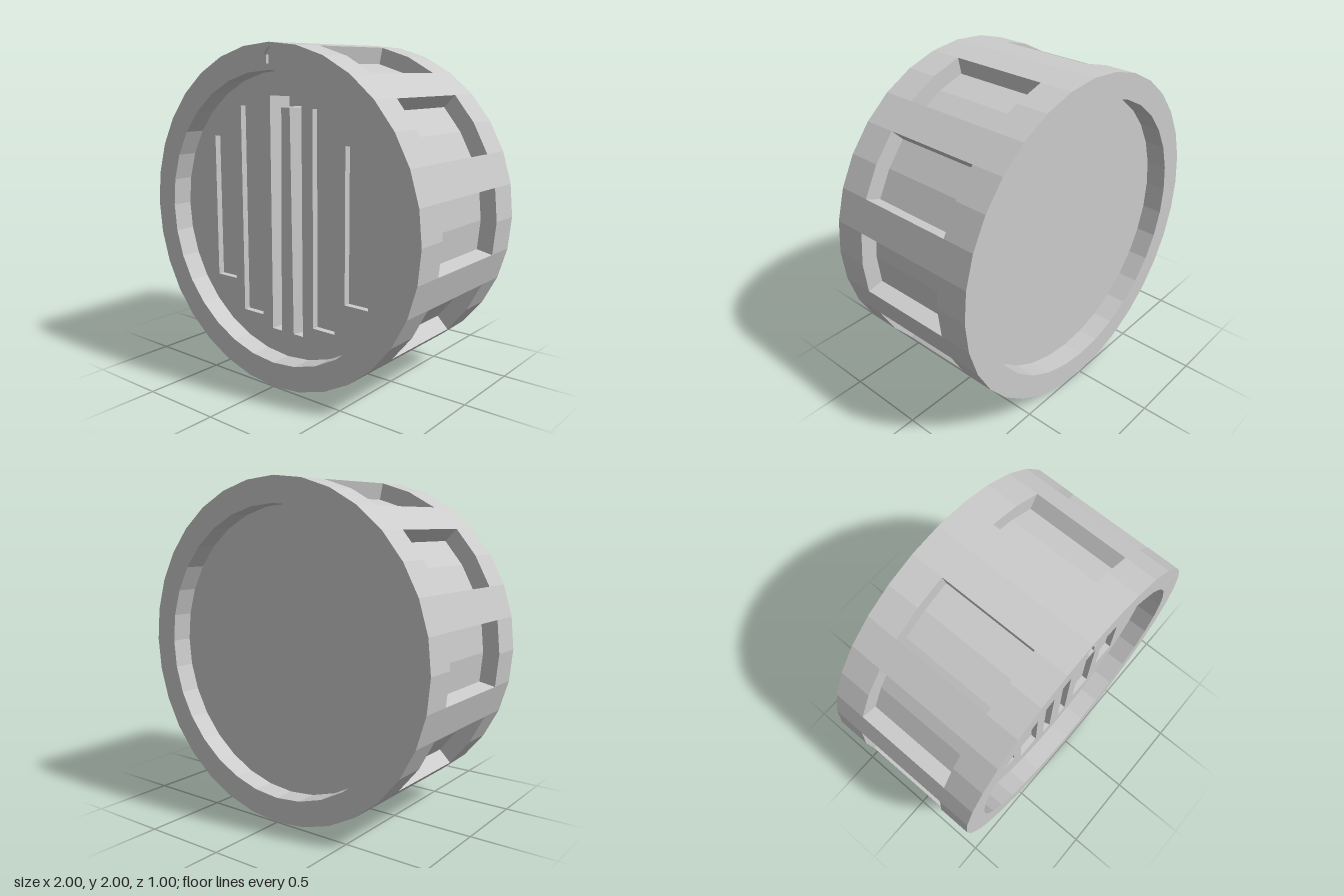
import * as THREE from 'three';
import { mergeGeometries } from 'three/addons/utils/BufferGeometryUtils.js';

const SIDES = 32;
const R = 1, POCKET_R = 0.9, RECESS_R = 0.85;
const HALF = 0.5, POCKET_Z = 0.3, RECESS_Z = 0.37, SLOT_Z = 0.33, DEEP_Z = 0.2;

const material = new THREE.MeshStandardMaterial({ color: 0xcccccc, flatShading: true });

const polar = (r, i) => {
  const a = (i / SIDES) * Math.PI * 2;
  return new THREE.Vector2(r * Math.cos(a), r * Math.sin(a));
};
const arc = (r, from, to) =>
  Array.from({ length: to - from + 1 }, (_, k) => polar(r, from + k));
const ring = (r) => arc(r, 0, SIDES - 1);
const rect = (x0, x1, y0, y1) =>
  [[x0, y0], [x1, y0], [x1, y1], [x0, y1]].map(([x, y]) => new THREE.Vector2(x, y));
const closed = (pts) => [...pts, pts[0]];
const inward = (pts) => closed(pts).reverse();

// Flat-shaded quads, corners counter-clockwise from outside
function quads(list) {
  const pos = [];
  for (const [a, b, c, d] of list) pos.push(...a, ...b, ...c, ...a, ...c, ...d);
  const g = new THREE.BufferGeometry();
  g.setAttribute('position', new THREE.Float32BufferAttribute(pos, 3));
  g.computeVertexNormals();
  return g;
}

// Wall along a path from z0 to z1, facing the right-hand side of the path
function wall(pts, z0, z1) {
  return quads(pts.slice(1).map((q, i) => {
    const p = pts[i];
    return [[p.x, p.y, z0], [q.x, q.y, z0], [q.x, q.y, z1], [p.x, p.y, z1]];
  }));
}

// Flat plate at z, facing +z, or -z when back is set
function plate(outline, z, holes = [], back = false) {
  const shape = new THREE.Shape(outline);
  holes.forEach((h) => shape.holes.push(new THREE.Path(h)));
  const g = new THREE.ShapeGeometry(shape).toNonIndexed();
  g.deleteAttribute('uv');
  if (back) g.rotateY(Math.PI);
  return g.translate(0, 0, z);
}

export function createModel() {
  const model = new THREE.Group();
  const body = new THREE.Group();
  body.position.y = 1;
  model.add(body);
  const add = (name, ...geos) => {
    const mesh = new THREE.Mesh(mergeGeometries(geos), material);
    mesh.name = name;
    body.add(mesh);
  };

  // Outer drum: two plain bands with a pocketed band between them
  const starts = [-1, 2, 5, 9, 12, 15, 18, 21, 25, 28];
  const drum = [
    wall(closed(ring(R)), -HALF, -POCKET_Z),
    wall(closed(ring(R)), POCKET_Z, HALF),
  ];
  starts.forEach((s, k) => {
    const next = k + 1 < starts.length ? starts[k + 1] : starts[0] + SIDES;
    drum.push(wall(arc(R, s + 2, next), -POCKET_Z, POCKET_Z));
  });
  add('drum', ...drum);

  // Pockets around the drum, each two facets wide
  const pockets = [];
  for (const s of starts) {
    const inner = arc(POCKET_R, s, s + 2);
    const outer = arc(R, s, s + 2);
    const outline = [...outer, ...inner.slice().reverse()];
    pockets.push(
      wall([outer[0], ...inner, outer[2]], -POCKET_Z, POCKET_Z),
      plate(outline, -POCKET_Z),
      plate(outline, POCKET_Z, [], true),
    );
  }
  add('rimPockets', ...pockets);

  // Engraved arrow marking the top of the front rim
  const half = [[0.022, 0.885], [0.022, 0.932], [0.045, 0.932]];
  const arrow = [
    ...half, [0, 0.98], ...half.slice().reverse().map(([x, y]) => [-x, y]),
  ].map(([x, y]) => new THREE.Vector2(x, y));
  const arrowZ = HALF - 0.02;
  add('arrowMark', plate(arrow, arrowZ), wall(inward(arrow), arrowZ, HALF));

  // Front and back rims with the recess walls
  add('frontRim',
    plate(ring(R), HALF, [ring(RECESS_R), arrow]),
    wall(inward(ring(RECESS_R)), RECESS_Z, HALF));
  add('backRim',
    plate(ring(R), -HALF, [ring(RECESS_R)], true),
    wall(inward(ring(RECESS_R)), -HALF, -RECESS_Z));

  // Recessed faces; the front one is cut by five slots
  const deepSlot = rect(-0.12, 0.12, -0.7, 0.705);
  const slots = [
    rect(0.2, 0.36, -0.63, 0.64), rect(-0.36, -0.2, -0.63, 0.64),
    rect(0.43, 0.59, -0.44, 0.45), rect(-0.59, -0.43, -0.44, 0.45),
  ];
  add('frontFace', plate(ring(RECESS_R), RECESS_Z, [deepSlot, ...slots]));
  add('backFace', plate(ring(RECESS_R), -RECESS_Z, [], true));
  add('shallowSlots', ...slots.flatMap((s) =>
    [plate(s, SLOT_Z), wall(inward(s), SLOT_Z, RECESS_Z)]));
  add('centreSlot', plate(deepSlot, DEEP_Z), wall(inward(deepSlot), DEEP_Z, RECESS_Z));

  // Tapered grip bar standing in the centre slot, flush with the face
  const section = (y, base, front) =>
    [[-base, y, DEEP_Z], [-front, y, RECESS_Z], [front, y, RECESS_Z], [base, y, DEEP_Z]];
  const low = section(-0.7, 0.09, 0.048);
  const high = section(0.64, 0.065, 0.032);
  add('gripBar', quads([
    ...[0, 1, 2].map((i) => [low[i], low[i + 1], high[i + 1], high[i]]),
    [high[0], high[1], high[2], high[3]],
  ]));

  return model;
}
